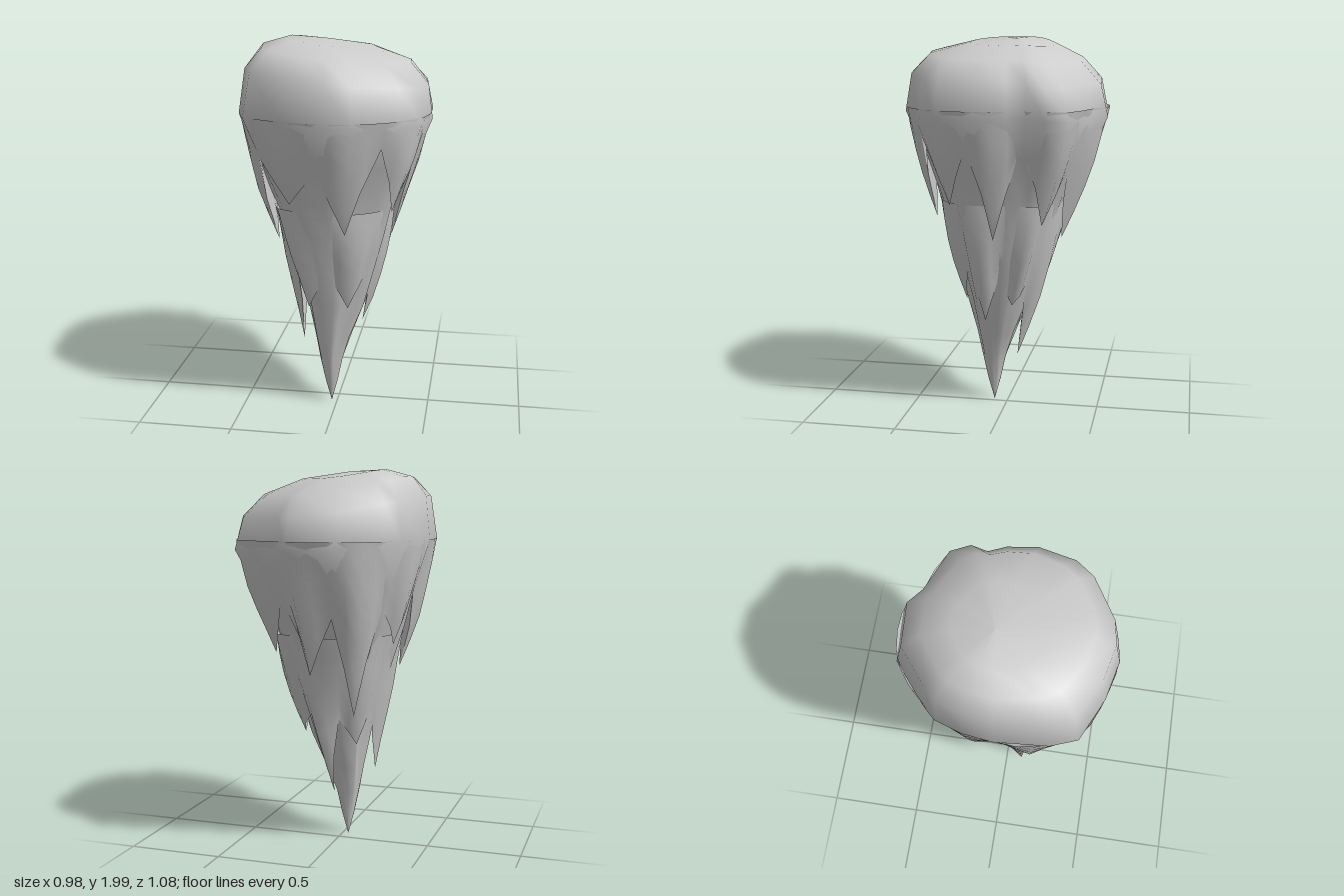
import * as THREE from 'three';

const material = new THREE.MeshStandardMaterial({ color: 0xcccccc, side: THREE.DoubleSide });
const { lerp, clamp, degToRad, radToDeg } = THREE.MathUtils;

// Skin a stack of closed rings (arrays of [x, y, z]) with smooth normals.
function loft(name, rings) {
  const n = rings[0].length, index = [];
  for (let i = 0; i < rings.length - 1; i++) {
    for (let j = 0; j < n; j++) {
      const k = (j + 1) % n, a = i * n + j, b = i * n + k;
      index.push(a, b, a + n, b, b + n, a + n);
    }
  }
  const geometry = new THREE.BufferGeometry();
  geometry.setAttribute('position', new THREE.Float32BufferAttribute(rings.flat(2), 3));
  geometry.setIndex(index);
  geometry.computeVertexNormals();
  const mesh = new THREE.Mesh(geometry, material);
  mesh.name = name;
  return mesh;
}

// Widest outline of the rock as [x, z], turned into [degrees from +z, radius].
const OUTLINE = [
  [-0.15, -0.52], [0.1, -0.54], [0.18, -0.46], [0.43, -0.38], [0.47, -0.27], [0.42, -0.17],
  [0.46, -0.08], [0.49, 0.08], [0.45, 0.28], [0.37, 0.38], [0.14, 0.51], [0, 0.535],
  [-0.2, 0.49], [-0.42, 0.39], [-0.47, 0.26], [-0.49, 0], [-0.47, -0.15], [-0.42, -0.29],
  [-0.36, -0.35],
].map(([x, z]) => [(radToDeg(Math.atan2(x, z)) + 360) % 360, Math.hypot(x, z)])
  .sort((p, q) => q[0] - p[0]);

function outlineRadius(deg) {
  const n = OUTLINE.length, a = (deg + 360) % 360;
  const i = OUTLINE.findIndex((p) => p[0] <= a);
  const [a1, r1] = i < 0 ? [OUTLINE[0][0] - 360, OUTLINE[0][1]] : OUTLINE[i];
  const [a0, r0] = i === 0 ? [OUTLINE[n - 1][0] + 360, OUTLINE[n - 1][1]]
    : OUTLINE[i < 0 ? n - 1 : i - 1];
  return lerp(r0, r1, (a0 - a) / (a0 - a1));
}

// Levels from crown to tip: [y, outline scale, centre x, centre z, groove depth, rounding].
const LEVELS = [
  [1.985, 0.001, -0.08, -0.05, 0, 1], [1.97, 0.45, -0.05, -0.03, 0, 0.9],
  [1.92, 0.78, -0.01, 0, 0, 0.6], [1.82, 0.95, 0, 0, 0, 0.25], [1.62, 1, 0, 0, 0, 0],
  [1.4, 0.83, 0, 0, 0.02, 0], [1.2, 0.68, -0.01, 0.01, 0.05, 0.3],
  [1.0, 0.55, 0, 0.02, 0.08, 0.5], [0.8, 0.43, 0, 0.03, 0.1, 0.5],
  [0.6, 0.32, 0, 0.04, 0.1, 0.5], [0.4, 0.2, -0.02, 0.06, 0.08, 0.5],
  [0.25, 0.12, -0.03, 0.075, 0, 0.5], [0.12, 0.065, -0.03, 0.075, 0, 0.5],
  [0, 0.001, -0.03, 0.075, 0, 0.5],
];

function rockBody() {
  return loft('rockBody', LEVELS.map(([y, s, cx, cz, groove, rounding]) =>
    OUTLINE.map(([deg, r], j) => {
      const k = lerp(r, 0.5, rounding) * s * (1 + groove * Math.sin(j * 2.1 + y * 1.5));
      const x = Math.sin(degToRad(deg)) * k, z = Math.cos(degToRad(deg)) * k;
      // The crown falls towards the model's left and back.
      const lift = clamp((y - 1.5) / 0.35, 0, 1) * (-0.1 * x - 0.15 * Math.max(0, -z - 0.1));
      return [cx + x, y + lift, cz + z];
    })));
}

// Outline scale and centre of the body at a height.
function bodyAt(y) {
  const i = LEVELS.findIndex((level) => level[0] <= y);
  const p = LEVELS[i - 1], q = LEVELS[i], t = (p[0] - y) / (p[0] - q[0]);
  return [1, 2, 3].map((c) => lerp(p[c], q[c], t));
}

function shellPoint(deg, y, s) {
  const [, cx, cz] = bodyAt(y), r = outlineRadius(deg) * s, a = degToRad(deg);
  return [cx + Math.sin(a) * r, y, cz + Math.cos(a) * r];
}

// A skirt that leaves the body at topY and hangs in jagged teeth.
// teeth: [degrees, tip height, tip scale, height of the gap after it].
function jaggedSkirt(topY, teeth) {
  const columns = teeth.flatMap(([deg, y, s, gapY], i) => {
    const next = teeth[(i + 1) % teeth.length];
    const nextDeg = next[0] - (i === teeth.length - 1 ? 360 : 0);
    const gap = [(deg + nextDeg) / 2, gapY, bodyAt(gapY)[0] - 0.01, 0];
    const tip = [deg, y, s, 0.045], nextTip = [nextDeg, next[1], next[2], 0.045];
    const mix = (p, q) => p.map((v, c) => lerp(v, q[c], 0.5));
    return [tip, mix(tip, gap), gap, mix(gap, nextTip)];
  });
  const topScale = bodyAt(topY)[0] - 0.004;
  const rings = [0, 0.2, 0.4, 0.6, 0.8, 1].map((t) => columns.map(([deg, y, s, bulge]) =>
    shellPoint(deg, lerp(topY, y, t), lerp(topScale, s, t) + bulge * Math.sin(Math.PI * t))));
  // The underside folds from the jagged edge back into the body.
  const inner = columns.map(([deg, y]) => {
    const innerY = Math.min(y + 0.3, topY);
    return shellPoint(deg, innerY, bodyAt(innerY)[0] * 0.88);
  });
  const group = new THREE.Group();
  group.name = 'jaggedSkirt';
  group.add(loft('teeth', rings), loft('underside', [rings[5], inner]));
  return group;
}

export function createModel() {
  const group = new THREE.Group();
  group.name = 'hangingRock';
  group.add(rockBody());
  // upper teeth
  group.add(jaggedSkirt(1.64, [
    [332, 1.2, 0.74, 1.42], [292, 0.95, 0.61, 1.4], [252, 1.1, 0.68, 1.3],
    [212, 0.73, 0.53, 1.25], [170, 0.95, 0.6, 1.35], [132, 1.05, 0.64, 1.45],
    [90, 0.97, 0.59, 1.45], [54, 1.15, 0.73, 1.5], [14, 1.05, 0.67, 1.38],
  ]));
  // lower teeth
  group.add(jaggedSkirt(1.15, [
    [322, 0.6, 0.38, 0.85], [285, 0.38, 0.31, 0.75], [225, 0.55, 0.33, 0.7],
    [165, 0.28, 0.26, 0.7], [120, 0.6, 0.36, 0.75], [75, 0.5, 0.31, 0.8],
    [25, 0.6, 0.34, 0.8],
  ]));
  return group;
}
